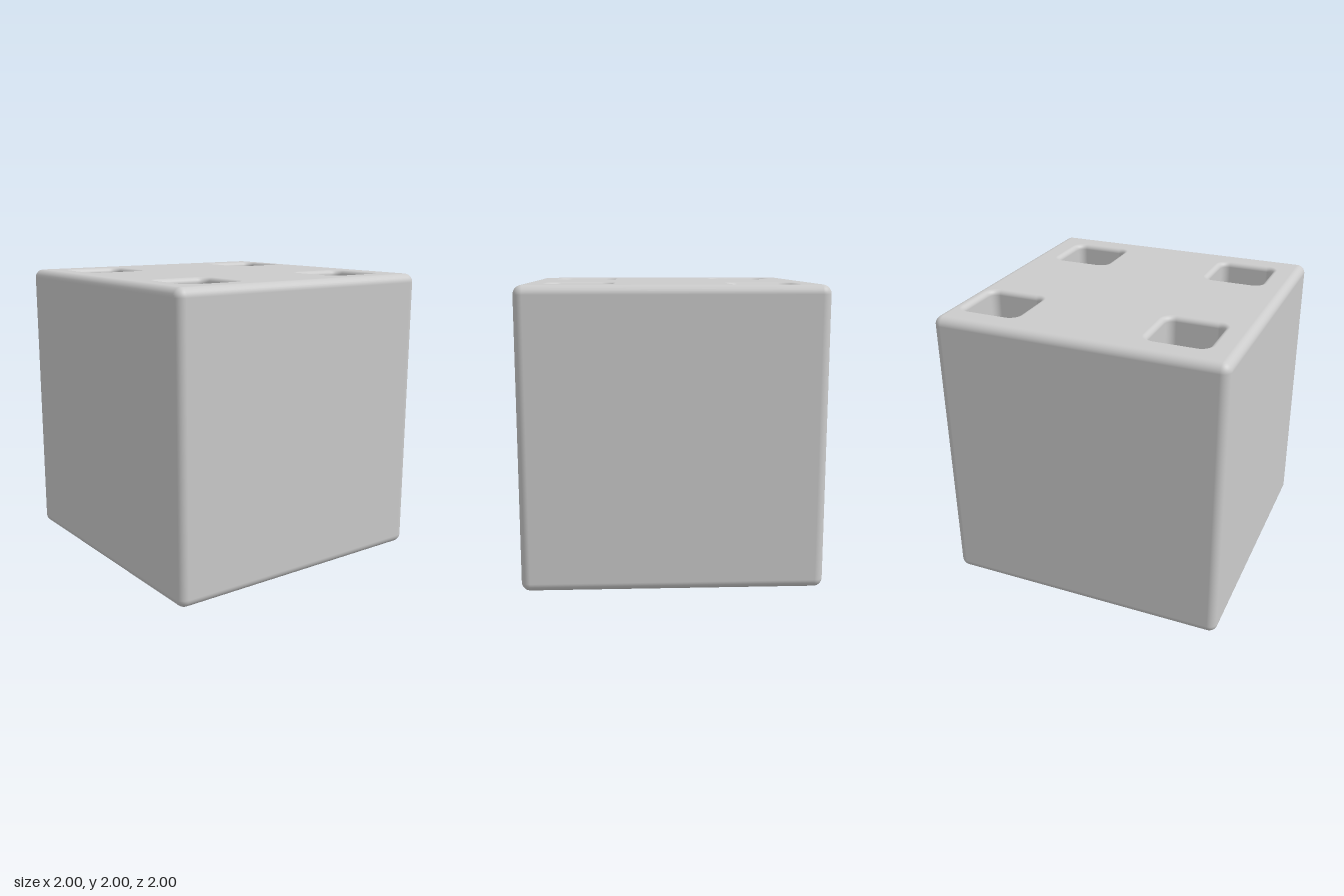
import * as THREE from 'three';

const EDGE = 0.06;      // outer edge radius, also the pockets' inner radius
const RIM = 0.035;      // soft rim around each pocket
const DEPTH = 0.4;
const ARC = 8;          // segments per quarter circle
const POCKETS = [[-0.6, -0.6], [0.7, -0.6], [-0.6, 0.6], [0.6, 0.6]];

const material = new THREE.MeshStandardMaterial({ color: 0xcccccc });

// Rounded square: corner centres at +-core, corner radius r
function ring(core, r) {
  const pts = [];
  for (let k = 0; k < 4; k++) {
    const sx = k === 0 || k === 3 ? 1 : -1, sz = k < 2 ? 1 : -1;
    for (let j = 0; j <= ARC; j++) {
      const a = (k + j / ARC) * Math.PI / 2, dx = Math.cos(a), dz = Math.sin(a);
      pts.push({ x: sx * core + r * dx, z: sz * core + r * dz, dx, dz });
    }
  }
  return pts;
}

// Quarter arc of profile points: radius, height and normal (outward, up)
function arc(r, y, size, from, to, flip = 1) {
  return Array.from({ length: ARC + 1 }, (_, i) => {
    const a = from + (to - from) * i / ARC, c = Math.cos(a), s = Math.sin(a);
    return { r: r + size * c, y: y + size * s, nr: c * flip, ny: s * flip };
  });
}

// Sweep a profile around a rounded square; inward turns the faces to the inside
function sweep(core, profile, inward) {
  const pos = [], nor = [], idx = [];
  const n = 4 * (ARC + 1);
  profile.forEach((p, row) => {
    ring(core, p.r).forEach((q, i) => {
      pos.push(q.x, p.y, q.z);
      nor.push(q.dx * p.nr, p.ny, q.dz * p.nr);
      if (row === profile.length - 1) return;
      const a = row * n + i, b = row * n + (i + 1) % n, c = a + n, d = b + n;
      if (inward) idx.push(a, b, c, b, d, c);
      else idx.push(a, c, b, b, c, d);
    });
  });
  const g = new THREE.BufferGeometry();
  g.setAttribute('position', new THREE.Float32BufferAttribute(pos, 3));
  g.setAttribute('normal', new THREE.Float32BufferAttribute(nor, 3));
  g.setIndex(idx);
  return g;
}

function add(parent, name, geometry, x = 0, y = 0, z = 0) {
  const mesh = new THREE.Mesh(geometry, material);
  mesh.name = name;
  mesh.position.set(x, y, z);
  parent.add(mesh);
}

export function createModel() {
  const model = new THREE.Group();
  model.name = 'blockWithPockets';
  const core = 1 - EDGE, q = Math.PI / 2;

  // Sides with rounded edges, and the underside
  add(model, 'sides', sweep(core, [
    ...arc(0, EDGE, EDGE, -q, 0),
    ...arc(0, 2 - EDGE, EDGE, 0, q),
  ], false));
  add(model, 'underside', new THREE.PlaneGeometry(2 * core, 2 * core).rotateX(q));

  // Top face with four rounded openings
  const pCore = 0.2 - EDGE;
  const top = new THREE.Shape([[-1, -1], [1, -1], [1, 1], [-1, 1]]
    .map(([x, y]) => new THREE.Vector2(x * core, y * core)));
  for (const [cx, cz] of POCKETS) {
    top.holes.push(new THREE.Path(ring(pCore, EDGE + RIM)
      .map(p => new THREE.Vector2(cx + p.x, -(cz + p.z)))));
  }
  add(model, 'topFace', new THREE.ShapeGeometry(top).rotateX(-q), 0, 2, 0);

  // Pockets: filleted floor, upright walls, soft rim
  const wall = sweep(pCore, [
    ...arc(0, 2 - DEPTH + EDGE, EDGE, -q, 0, -1),
    ...arc(EDGE + RIM, 2 - RIM, RIM, Math.PI, q),
  ], true);
  const floor = new THREE.PlaneGeometry(2 * pCore, 2 * pCore).rotateX(-q);
  for (const [x, z] of POCKETS) {
    const pocket = new THREE.Group();
    pocket.name = 'pocket';
    pocket.position.set(x, 0, z);
    add(pocket, 'pocketWall', wall);
    add(pocket, 'pocketFloor', floor, 0, 2 - DEPTH, 0);
    model.add(pocket);
  }
  return model;
}
